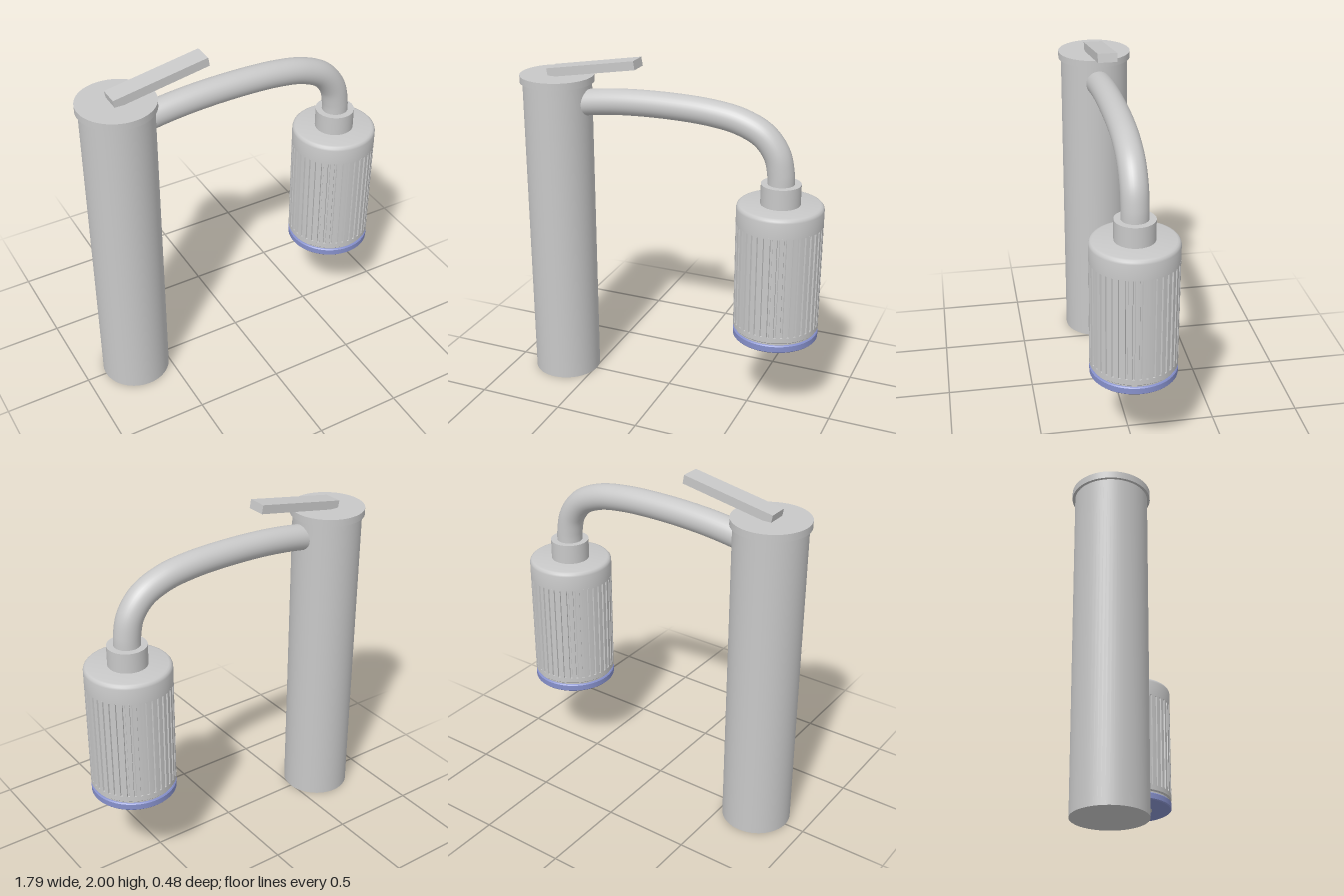
import * as THREE from 'three';
import { toCreasedNormals } from 'three/addons/utils/BufferGeometryUtils.js';

export function createModel() {
  const model = new THREE.Group();
  model.name = 'filterFaucet';

  const mat = (name, hex) => {
    const m = new THREE.MeshStandardMaterial({ color: hex });
    m.name = name;
    return m;
  };
  const metal = mat('brushedGrey', 0xc8c8c8);
  const blue = mat('blueTrim', 0x8791cc);
  const dark = mat('darkOutlet', 0x222622);

  const add = (parent, name, geometry, material, x = 0, y = 0, z = 0) => {
    const mesh = new THREE.Mesh(geometry, material);
    mesh.name = name;
    mesh.position.set(x, y, z);
    parent.add(mesh);
    return mesh;
  };
  const cylinder = (r, y0, y1, segments = 64) =>
    new THREE.CylinderGeometry(r, r, y1 - y0, segments).translate(0, (y0 + y1) / 2, 0);
  const lathe = (points) => toCreasedNormals(
    new THREE.LatheGeometry(points.map(([r, y]) => new THREE.Vector2(r, y)), 72), 0.6);

  // Upright column with its flat cap
  add(model, 'column', cylinder(0.197, 0, 1.83), metal, -0.688);
  add(model, 'columnCap', cylinder(0.212, 1.825, 1.865), metal, -0.688);

  // Tilted lever on the cap
  const lever = add(model, 'lever', new THREE.BoxGeometry(0.545, 0.05, 0.11), metal, -0.453, 1.928, 0);
  lever.rotation.z = THREE.MathUtils.degToRad(10);

  // Arched spout, running from inside the column down into the collar
  const path = new THREE.CatmullRomCurve3([
    [-0.62, 1.695], [-0.49, 1.722], [-0.28, 1.747], [0, 1.757], [0.25, 1.747], [0.42, 1.717],
    [0.55, 1.655], [0.625, 1.56], [0.65, 1.46], [0.655, 1.36],
  ].map(([x, y]) => new THREE.Vector3(x, y, 0)));
  add(model, 'spout', new THREE.TubeGeometry(path, 80, 0.074, 32), metal);

  // Filter cartridge hanging from the spout
  const filter = new THREE.Group();
  filter.name = 'filter';
  filter.position.x = 0.655;
  model.add(filter);
  add(filter, 'collar', cylinder(0.11, 1.28, 1.4), metal);
  add(filter, 'filterTop', lathe([
    [0, 1.17], [0.24, 1.17], [0.24, 1.262], [0.237, 1.273], [0.229, 1.282], [0.218, 1.285], [0, 1.285],
  ]), metal);

  // Ribbed grip: a round section with evenly spaced grooves
  const ribs = 40, step = (Math.PI * 2) / ribs;
  const section = new THREE.Shape();
  for (let i = 0; i < ribs; i++) {
    [[0, 0.24], [0.3, 0.24], [0.6, 0.24], [0.66, 0.231], [0.94, 0.231]].forEach(([t, r], j) => {
      const a = (i + t) * step, x = r * Math.cos(a), y = r * Math.sin(a);
      if (i + j === 0) section.moveTo(x, y);
      else section.lineTo(x, y);
    });
  }
  section.closePath();
  const grip = new THREE.ExtrudeGeometry(section, { depth: 0.6, bevelEnabled: false });
  grip.rotateX(-Math.PI / 2);
  add(filter, 'ribbedGrip', toCreasedNormals(grip, 0.4), metal, 0, 0.575, 0);

  // Plain band, recessed neck and blue base ring
  add(filter, 'lowerBand', lathe([
    [0, 0.546], [0.234, 0.546], [0.24, 0.552], [0.24, 0.582], [0, 0.582],
  ]), metal);
  add(filter, 'neck', cylinder(0.229, 0.525, 0.555), metal);
  add(filter, 'baseRing', lathe([
    [0, 0.49], [0.234, 0.49], [0.24, 0.496], [0.24, 0.529], [0.234, 0.535], [0, 0.535],
  ]), blue);
  add(filter, 'baseMark', cylinder(0.012, 0.488, 0.492, 20), metal, -0.21);

  // Outlet on the underside: plate, dark opening and a spoked grate
  add(filter, 'outletPlate', cylinder(0.12, 0.487, 0.493), metal);
  add(filter, 'outletOpening', cylinder(0.068, 0.485, 0.491, 40), dark);
  for (const r of [0.02, 0.04, 0.058]) {
    const ring = new THREE.TorusGeometry(r, 0.002, 6, 40).rotateX(Math.PI / 2);
    add(filter, 'grateRing', ring, metal, 0, 0.485, 0);
  }
  for (let i = 0; i < 4; i++) {
    const spoke = add(filter, 'grateSpoke', new THREE.BoxGeometry(0.116, 0.003, 0.003), metal, 0, 0.485, 0);
    spoke.rotation.y = (i * Math.PI) / 4;
  }

  return model;
}
